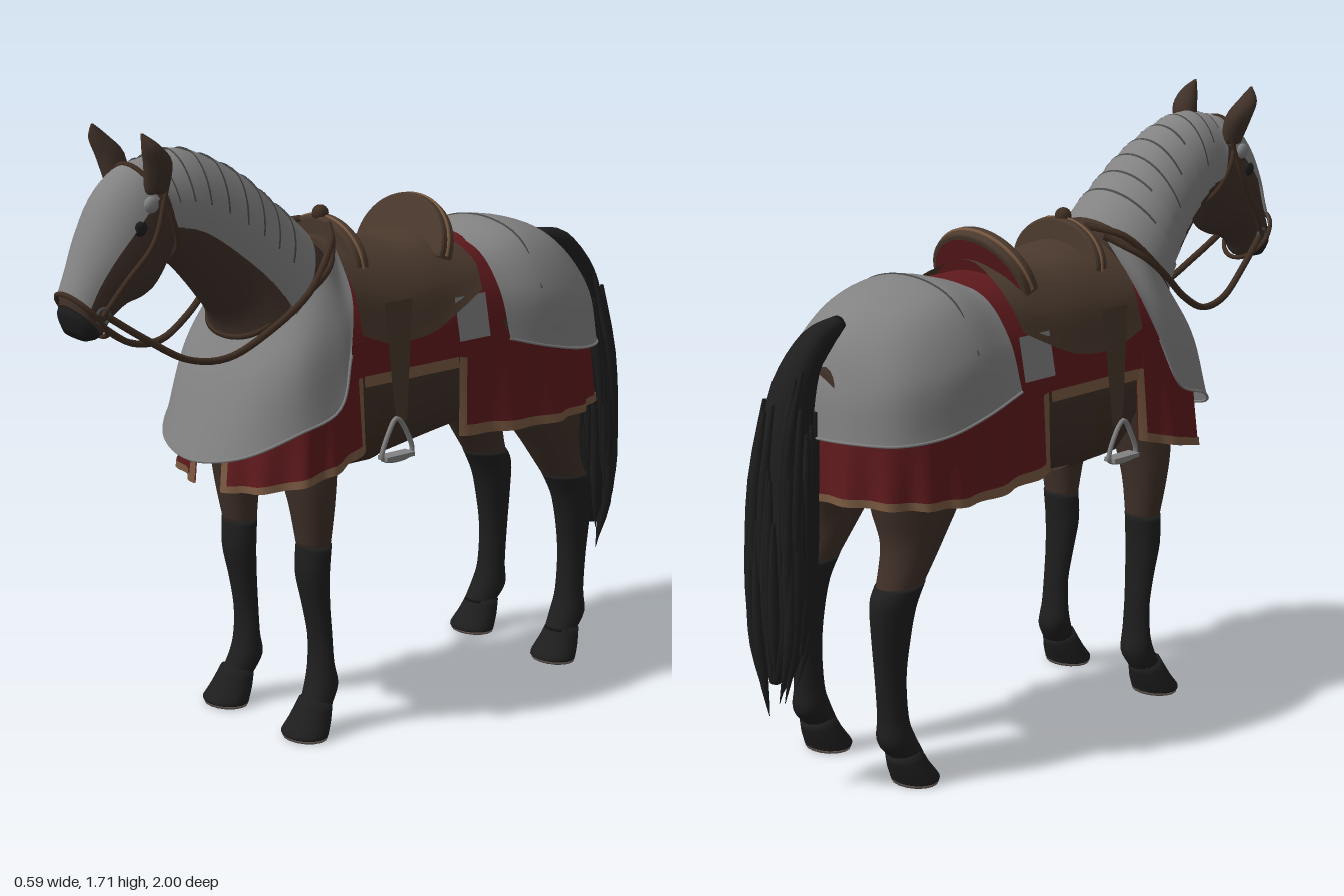
import * as THREE from 'three';

const V = (x, y, z) => new THREE.Vector3(x, y, z);
const mat = (name, color, side = THREE.FrontSide) => {
  const m = new THREE.MeshStandardMaterial({ color, side });
  m.name = name;
  return m;
};

// Rows are [z1, y1, z2, y2, halfWidth, centreX]: two opposite side-profile points and a width.
function sample(rows, t) {
  const f = t * (rows.length - 1), i = Math.min(Math.floor(f), rows.length - 2), k = f - i;
  const at = (j) => rows[Math.max(0, Math.min(rows.length - 1, j))];
  return [0, 1, 2, 3, 4, 5].map((c) => {
    const [a, b, d, e] = [at(i - 1)[c] ?? 0, at(i)[c] ?? 0, at(i + 1)[c] ?? 0, at(i + 2)[c] ?? 0];
    const m0 = (d - a) / 2, m1 = (e - b) / 2;
    return b + k * (m0 + k * (3 * (d - b) - 2 * m0 - m1 + k * (2 * (b - d) + m0 + m1)));
  });
}
function ringPoint([z1, y1, z2, y2, w, cx], a, grow = 0) {
  const k = 1 + grow / (Math.hypot(y1 - y2, z1 - z2) / 2 + 1e-6), s = Math.sin(a) * k / 2;
  return V(cx + Math.cos(a) * (w + grow), (y1 + y2) / 2 + s * (y1 - y2), (z1 + z2) / 2 + s * (z1 - z2));
}

// Surface through fn(u, v); a closed surface wraps in u, gets end caps and faces outward.
function surface(fn, nu, nv, closed = false) {
  const pts = [], idx = [], cols = closed ? nu : nu + 1;
  for (let j = 0; j <= nv; j++) for (let i = 0; i < cols; i++) pts.push(fn(i / nu, j / nv));
  for (let j = 0; j < nv; j++) for (let i = 0; i < nu; i++) {
    const a = j * cols + i, b = j * cols + (i + 1) % cols, c = a + cols, d = b + cols;
    idx.push(a, b, d, a, d, c);
  }
  if (closed) {
    for (const [j, flip] of [[0, true], [nv, false]]) {
      const mid = V(0, 0, 0), c = pts.length;
      for (let i = 0; i < nu; i++) mid.addScaledVector(pts[j * nu + i], 1 / nu);
      pts.push(mid);
      for (let i = 0; i < nu; i++) {
        const a = j * nu + i, b = j * nu + (i + 1) % nu;
        idx.push(c, flip ? b : a, flip ? a : b);
      }
    }
    let vol = 0;
    for (let i = 0; i < idx.length; i += 3)
      vol += pts[idx[i]].dot(pts[idx[i + 1]].clone().cross(pts[idx[i + 2]]));
    if (vol < 0) idx.reverse();
  }
  const g = new THREE.BufferGeometry().setFromPoints(pts);
  g.setIndex(idx);
  g.computeVertexNormals();
  return g;
}
const loft = (rows, seg = 20, steps = 4) =>
  surface((u, v) => ringPoint(sample(rows, v), u * Math.PI * 2), seg, (rows.length - 1) * steps, true);
// Open strip of a loft between two angles, pushed outward by grow(v)
const shell = (rows, a0, a1, t0, t1, grow, nu = 24, nv = 6) => surface((u, v) =>
  ringPoint(sample(rows, t0 + (t1 - t0) * v), a0 + (a1 - a0) * u, grow(v)), nu, nv);
// Patch through columns of points, mirrored across x = 0
function patch(half, nu = 40, nv = 14) {
  const flip = half.map((c) => c.map(([x, y, z]) => [-x, y, z]));
  const full = half[0].map((_, r) => [...flip.map((c) => c[r]).reverse(), ...half.map((c) => c[r])])
    .map((row) => row.filter((p, i) => !i || p.some((q, k) => Math.abs(q - row[i - 1][k]) > 1e-6)));
  const curves = full.map((row) => new THREE.CatmullRomCurve3(row.map((p) => V(...p))));
  return surface((u, v) => new THREE.CatmullRomCurve3(curves.map((c) => c.getPoint(u))).getPoint(v), nu, nv);
}
const transpose = (cols) => cols[0].map((_, r) => cols.map((c) => c[r]));
const mirrored = (pts) => [...pts.slice(1).reverse().map(([x, y, z]) => [-x, y, z]), ...pts];
const tube = (pts, r, closed = false, n = 40) =>
  new THREE.TubeGeometry(new THREE.CatmullRomCurve3(pts.map((p) => (p.isVector3 ? p : V(...p))), closed), n, r, 6, closed);

export function createModel() {
  const root = new THREE.Group();
  root.name = 'armouredHorse';
  const D = THREE.DoubleSide;
  const coat = mat('brown coat', 0x3f3028), black = mat('black hair', 0x1e1e1e), sole = mat('hoof sole', 0x665b55);
  const steel = mat('steel', 0x828282, D), seam = mat('dark steel seam', 0x484848, D), red = mat('red cloth', 0x601a1d, D);
  const trim = mat('tan trim', 0x795941, D), leather = mat('saddle leather', 0x4a392d, D), strap = mat('strap leather', 0x3f2e23, D);
  const add = (name, geo, m) => {
    const o = new THREE.Mesh(geo, m);
    o.name = name;
    root.add(o);
    return o;
  };
  const both = (fn) => [[1, 'left'], [-1, 'right']].forEach(([s, n]) => fn(s, n));

  // Body, neck and head
  add('body', loft([[-.77, 1.13, -.77, .92, .08], [-.71, 1.21, -.71, .8, .17], [-.58, 1.27, -.58, .74, .23],
    [-.42, 1.3, -.42, .76, .24], [-.2, 1.28, -.2, .735, .23], [.05, 1.27, .05, .7, .226], [.25, 1.29, .25, .7, .215],
    [.39, 1.2, .39, .73, .19], [.46, 1.09, .46, .8, .13], [.5, 1, .5, .88, .05]], 32), coat);
  const neck = [[.18, 1.33, .46, 1.02, .19], [.33, 1.45, .48, 1.14, .16], [.46, 1.555, .54, 1.22, .132],
    [.62, 1.625, .62, 1.31, .108], [.74, 1.61, .68, 1.36, .088]];
  add('neck', loft(neck, 24), coat);
  const head = [[.71, 1.62, .65, 1.43, .08], [.8, 1.6, .68, 1.36, .1], [.87, 1.54, .74, 1.28, .104], [.92, 1.45, .815, 1.255, .09],
    [.955, 1.37, .86, 1.225, .072], [.985, 1.3, .885, 1.19, .064], [.99, 1.275, .9, 1.183, .065], [.992, 1.25, .913, 1.178, .063], [.975, 1.205, .94, 1.178, .045]];
  add('head', loft(head.slice(0, 7), 24), coat);
  add('muzzle', loft(head.slice(6), 24), black);
  both((s, n) => {
    add(n + 'Ear', loft([[.79, 1.55, .72, 1.55, .026, .082 * s], [.8, 1.62, .725, 1.63, .037, .103 * s],
      [.815, 1.67, .77, 1.68, .027, .114 * s], [.817, 1.71, .81, 1.71, .003, .107 * s]], 12), coat);
    const eye = add(n + 'Eye', new THREE.SphereGeometry(.021, 12, 8), black);
    eye.position.set(.098 * s, 1.468, .818);
    eye.scale.x = .6;
    const guard = add(n + 'EyeGuard', new THREE.SphereGeometry(.022, 12, 8), steel);
    guard.position.set(.102 * s, 1.525, .785);
    guard.scale.x = .6;
  });

  // Legs
  const foreTop = [[.4, .95, .2, .95, .085, .13], [.39, .76, .235, .76, .084, .15], [.37, .65, .25, .65, .068, .162], [.345, .53, .262, .53, .053, .16]];
  const foreLow = [[.347, .545, .26, .545, .058, .162], [.35, .46, .265, .46, .056, .16], [.33, .37, .262, .37, .048, .16],
    [.314, .28, .254, .28, .042, .162], [.312, .2, .25, .2, .046, .163], [.325, .145, .237, .135, .05, .166], [.35, .09, .265, .08, .047, .173]];
  const hindTop = [[-.38, .98, -.74, .98, .11, .13], [-.42, .8, -.71, .78, .1, .145], [-.5, .68, -.69, .66, .075, .16], [-.59, .55, -.725, .54, .054, .168]];
  const hindLow = [[-.575, .57, -.722, .56, .06, .168], [-.61, .5, -.745, .52, .055, .17], [-.632, .41, -.742, .43, .048, .17],
    [-.645, .31, -.73, .31, .042, .168], [-.64, .2, -.722, .2, .043, .168], [-.622, .145, -.725, .13, .05, .17], [-.595, .09, -.685, .08, .047, .174]];
  const hoof = [[.352, .11, .262, .085, .048, .173], [.382, .055, .275, .045, .064, .174], [.408, .02, .288, .016, .074, .175], [.408, .008, .29, .008, .073, .175]];
  const soleRows = [[.408, .009, .29, .009, .072, .175], [.405, 0, .292, 0, .07, .175]];
  both((s, n) => {
    const side = (rows, dz = 0) => rows.map(([a, b, c, d, w, x]) => [a + dz, b, c + dz, d, w, x * s]);
    add(n + 'ForeLeg', loft(side(foreTop), 16), coat);
    add(n + 'ForeStocking', loft(side(foreLow), 16), black);
    add(n + 'HindLeg', loft(side(hindTop), 16), coat);
    add(n + 'HindStocking', loft(side(hindLow), 16), black);
    for (const [part, dz] of [['Fore', 0], ['Hind', -.96]]) {
      add(n + part + 'Hoof', loft(side(hoof, dz), 16, 2), black);
      add(n + part + 'HoofSole', loft(side(soleRows, dz), 16, 1), sole);
    }
  });

  // Tail: a core wider at the back, with ragged locks
  const tail = [[-.7, 1.265, -.69, 1.19, .025], [-.8, 1.24, -.765, 1.14, .038], [-.9, 1.13, -.795, 1.02, .052], [-.948, .97, -.805, .88, .062],
    [-.972, .75, -.815, .72, .07], [-.975, .57, -.83, .54, .068], [-.97, .44, -.87, .42, .055], [-.955, .32, -.92, .32, .015]];
  const tailPoint = (t, a, grow) => {
    const p = ringPoint(sample(tail, t), a, grow);
    p.x *= 1 + .45 * Math.sin(a);
    return p;
  };
  add('tail', surface((u, v) => tailPoint(v, u * Math.PI * 2, 0), 20, 28, true), black);
  let seed = 7;
  const rand = () => (seed = (seed * 16807) % 2147483647) / 2147483647;
  for (let i = 0; i < 44; i++) {
    const a = i * 2.4, t0 = .25 + rand() * .35, len = .28 + rand() * .22, drop = rand() * .1;
    const rows = [.006, .016, .015, .001].map((r, j) => {
      const k = j / 3, p = tailPoint(Math.min(1, t0 + len * k), a, .006);
      return [p.z - r, p.y - drop * k, p.z + r, p.y - drop * k, r * .8, p.x];
    });
    add('tailLock', loft(rows, 6, 3), black);
  }

  // Cloth: blanket over the back, then hanging skirts with trim
  add('backBlanket', patch(transpose([-.36, -.1, .1, .3].map((z) =>
    [[0, 1.305, z], [.12, 1.28, z], [.192, 1.2, z], [.228, 1.1, z], [.239, 1, z]])), 40, 12), red);
  both((s, n) => {
    add(n + 'BlanketTrim', surface((u, v) => V(s * (.242 + .003 * v), 1.005 - .03 * v, -.155 + .345 * u), 4, 1), trim);
    add(n + 'FlankPlate', surface((u, v) => V(s * (.228 + .024 * v), 1.17 - .12 * v, -.15 - .115 * u), 4, 2), steel);
  });
  function skirt(name, plan, s, zc, waves) {
    const top = new THREE.CatmullRomCurve3(plan.map(([x, z, a]) => V(x * s, a, z)));
    const low = new THREE.CatmullRomCurve3(plan.map(([x, z, a, b]) => V(x * s, b, z)));
    const part = (u0, u1, v0, v1, off, nu, nv) => surface((i, j) => {
      const u = u0 + (u1 - u0) * i, v = v0 + (v1 - v0) * j, p = top.getPoint(u).lerp(low.getPoint(u), v);
      const out = V(p.x, 0, p.z - zc).normalize();
      return p.addScaledVector(out, off - .015 * (1 - v) + .009 * v * Math.sin(u * waves));
    }, nu, nv);
    add(name, part(0, 1, 0, 1, 0, 90, 6), red);
    add(name + 'HemTrim', part(0, 1, .9, 1, .004, 90, 1), trim);
    return part;
  }
  const rear = [[.245, -.155, 1.1, .78], [.265, -.31, 1.06, .772], [.285, -.48, 1.02, .77], [.275, -.6, 1, .777], [.228, -.7, 1, .785], [.128, -.77, 1, .79]];
  const rearPart = skirt('rearSkirt', [...rear, [0, -.8, 1, .79], ...rear.map(([x, ...r]) => [-x, ...r]).reverse()], 1, -.4, 80);
  add('rearEdgeTrim', rearPart(0, .014, .3, 1, .004, 2, 6), trim);
  add('rearEdgeTrim', rearPart(.986, 1, .3, 1, .004, 2, 6), trim);
  both((s, n) => {
    const p = skirt(n + 'ChestSkirt', [[.243, .19, 1.06, .8], [.272, .3, 1.02, .77], [.262, .41, .97, .745], [.17, .5, .92, .722], [.055, .535, .9, .71]], s, .2, 28);
    add(n + 'ChestEdgeTrim', p(0, .05, .2, 1, .004, 2, 6), trim);
    add(n + 'ChestEdgeTrim', p(.95, 1, .2, 1, .004, 2, 6), trim);
  });

  // Rump armour and chest armour
  const rump = [
    [[0, 1.3, -.31], [.15, 1.27, -.31], [.24, 1.17, -.31], [.285, 1.04, -.31]], [[0, 1.332, -.45], [.17, 1.29, -.45], [.265, 1.16, -.45], [.293, 1, -.45]],
    [[0, 1.3, -.6], [.16, 1.26, -.59], [.255, 1.13, -.59], [.285, .97, -.59]], [[0, 1.25, -.69], [.12, 1.21, -.69], [.21, 1.11, -.695], [.237, .96, -.705]],
    [[0, 1.22, -.725], [.06, 1.18, -.74], [.115, 1.08, -.76], [.133, .96, -.772]], [[0, 1.21, -.735], [0, 1.165, -.755], [0, 1.07, -.785], [0, .96, -.8]]];
  add('rumpArmour', patch(transpose(rump), 48, 24), steel);
  add('rumpArmourRim', tube(mirrored(rump.map((c) => c[3]).reverse()), .004, false, 80), steel);
  add('rumpArmourSeam', tube(mirrored(rump[1].slice(0, 3)), .003, false, 40), seam);
  const chest = [[[0, 1.12, .47], [0, 1, .525], [0, .8, .6]], [[.1, 1.14, .45], [.15, 1.03, .495], [.17, .83, .555]],
    [[.17, 1.22, .37], [.237, 1.08, .41], [.267, .895, .44]], [[.185, 1.3, .27], [.25, 1.13, .29], [.288, .945, .315]], [[.11, 1.36, .19], [.215, 1.22, .21], [.265, 1.08, .255]]];
  add('chestArmour', patch(chest, 48, 14), steel);
  add('chestArmourRim', tube(mirrored(chest.map((c) => c[2])), .004, false, 60), steel);
  add('collarStrap', tube(mirrored(chest.map((c) => c[0])), .01, false, 60), strap);

  // Neck lames and face plate
  const lames = 9;
  for (let i = 0; i < lames; i++) {
    const t0 = .12 + .88 * i / lames, t1 = .12 + .88 * (i + 1) / lames;
    add('neckLame', shell(neck, -.2, Math.PI + .2, t0, t1 + .02, (v) => .012 + .007 * v, 24, 4), steel);
    if (i) add('neckLameSeam', shell(neck, .25, Math.PI - .25 - (i % 3) * .3, t0 + .014, t0 + .024, () => .0195, 24, 1), seam);
  }
  add('facePlate', shell(head, .4, Math.PI - .4, 0, .635, () => .01, 24, 20), steel);

  // Bridle and reins
  const band = (name, t) => add(name, tube(Array.from({ length: 16 }, (_, i) => ringPoint(sample(head, t), i * Math.PI / 8, .011)), .007, true), strap);
  band('noseBand', .63);
  band('browBand', .1);
  both((s, n) => {
    add(n + 'CheekStrap', tube([[.07 * s, 1.25, .92], [.092 * s, 1.33, .865], [.112 * s, 1.43, .785], [.1 * s, 1.58, .73]], .007), strap);
    const bit = add(n + 'BitRing', new THREE.TorusGeometry(.02, .005, 6, 16), seam);
    bit.position.set(.072 * s, 1.25, .92);
    bit.rotation.y = Math.PI / 2;
    add(n + 'Rein', tube([[.07 * s, 1.25, .91], [.095 * s, 1.18, .81], [.122 * s, 1.11, .69], [.142 * s, 1.1, .58], [.165 * s, 1.15, .47],
      [.192 * s, 1.25, .34], [.15 * s, 1.36, .23], [.06 * s, 1.39, .16]], .01), strap);
  });

  // Saddle: seat with flaps, pommel, cantle, girth and stirrups
  const seat = [[[.2, 1.36], [.1, 1.345], [-.05, 1.318], [-.15, 1.33], [-.23, 1.34]], [[.2, 1.32], [.1, 1.31], [-.05, 1.3], [-.15, 1.31], [-.245, 1.305]],
    [[.2, 1.24], [.1, 1.22], [-.05, 1.22], [-.15, 1.23], [-.26, 1.25]], [[.2, 1.12], [.1, 1.085], [-.05, 1.09], [-.15, 1.13], [-.25, 1.18]]];
  add('saddle', patch(seat.map((c, i) => c.map(([z, y], j) => [[0, .125, .207, .248][i] - (j > 2 && i ? .008 * (j - 2) : 0), y, z])), 40, 16), leather);
  function archPlate(name, w, h, y, z, lean, depth) {
    const g = new THREE.Group(), shape = new THREE.Shape();
    shape.absellipse(0, 0, w, h, 0, Math.PI, false);
    const plate = new THREE.Mesh(new THREE.ExtrudeGeometry(shape, { depth, bevelSize: .008, bevelThickness: .008, bevelSegments: 2, curveSegments: 20 }), leather);
    const rim = new THREE.Mesh(tube(Array.from({ length: 13 }, (_, i) => [w * 1.04 * Math.cos(i * Math.PI / 12), h * 1.05 * Math.sin(i * Math.PI / 12), depth / 2]), .006), trim);
    plate.name = name + 'Plate';
    rim.name = name + 'Rim';
    g.add(plate, rim);
    g.name = name;
    g.position.set(0, y, z);
    g.rotation.x = lean;
    root.add(g);
    return g;
  }
  archPlate('pommel', .155, .12, 1.28, .11, .1, .03);
  const cantle = archPlate('cantle', .17, .145, 1.27, -.18, -.35, .035);
  const lining = new THREE.Mesh(new THREE.CircleGeometry(1, 24, 0, Math.PI), red);
  lining.name = 'cantleBackLining';
  lining.scale.set(.162, .136, 1);
  lining.position.z = -.0095;
  cantle.add(lining);
  add('pommelKnob', new THREE.SphereGeometry(.024, 12, 8), strap).position.set(0, 1.41, .14);
  add('girth', shell([[.12, 1.2, .12, .7, .225], [.04, 1.2, .04, .7, .228]], Math.PI, Math.PI * 2, 0, 1, () => .004, 24, 2), strap);
  both((s, n) => {
    add(n + 'StirrupLeather', surface((u, v) => V(s * (.254 + .014 * v), 1.2 - .33 * v, .08 + (u - .5) * (.1 - .06 * v)), 2, 4), leather);
    add(n + 'StirrupIron', tube([[.27 * s, .88, .1], [.27 * s, .84, .065], [.27 * s, .775, .045], [.27 * s, .775, .15], [.27 * s, .84, .13]], .007, true), steel);
    add(n + 'StirrupTread', new THREE.BoxGeometry(.04, .012, .1), steel).position.set(.268 * s, .775, .098);
  });
  return root;
}
